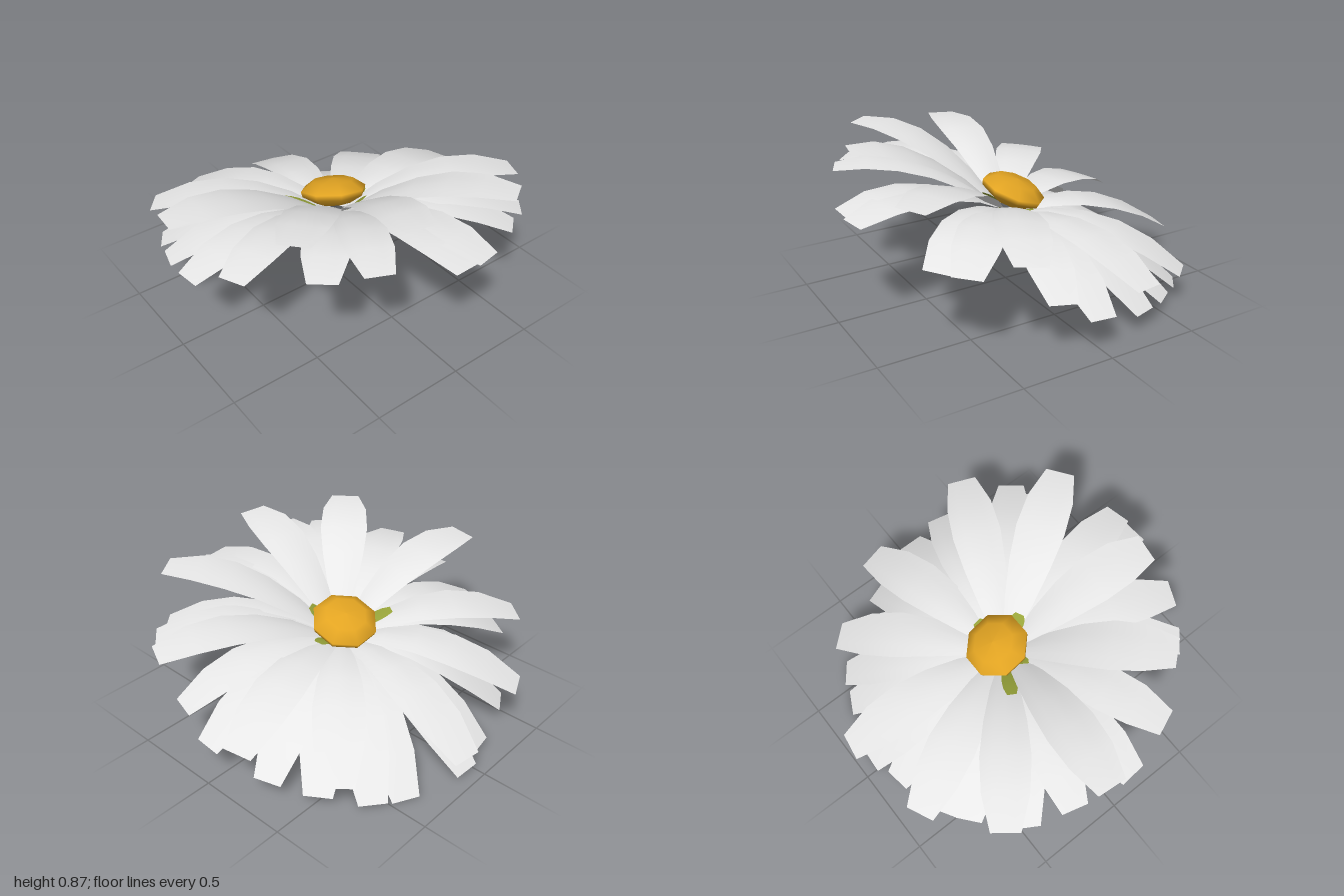
import * as THREE from 'three';

const petalWhite = new THREE.MeshStandardMaterial({ color: 0xe8e8e8, side: THREE.DoubleSide });
petalWhite.name = 'petalWhite';
const discOrange = new THREE.MeshStandardMaterial({ color: 0xe2a422 });
discOrange.name = 'discOrange';
const sepalGreen = new THREE.MeshStandardMaterial({ color: 0x98a43a, side: THREE.DoubleSide });
sepalGreen.name = 'sepalGreen';

// Height of the tilted flower plane
const planeY = (x, z) => 0.45 - 0.175 * x + 0.34 * z;

// Half width along the length of a petal, from base to tip
const WIDTHS = [0.03, 0.08, 0.115, 0.135, 0.126, 0.08];
const ROWS = WIDTHS.length - 1;

// Arched leaf from radius r0 to the tip (tx, tz); h is the tip's height over the plane
function leaf(tx, tz, h, { r0 = 0.06, rise = 0.115, scale = 1 } = {}) {
  const geo = new THREE.PlaneGeometry(1, 1, 4, ROWS);
  const p = geo.attributes.position;
  const len = Math.hypot(tx, tz), bx = tx / len, bz = tz / len;
  for (let i = 0; i < p.count; i++) {
    const u = p.getX(i) * 2;
    const s = p.getY(i) + 0.5;
    const w = WIDTHS[Math.round(s * ROWS)] * scale;
    const r = r0 + (len - r0) * s;
    const x = bx * r - bz * u * w;
    const z = bz * r + bx * u * w;
    // Each petal follows the plane along its length but stays nearly level across
    const base = 0.8 * planeY(bx * r, bz * r) + 0.2 * planeY(x, z);
    const arch = h * s + rise * 4 * s * (1 - s);
    const cup = -0.16 * w * u * u * (1 - s);
    p.setXYZ(i, x, base + arch + cup, z);
  }
  geo.computeVertexNormals();
  return geo;
}

// Petal tips: x, z and height over the plane
const UPPER = [
  [0.15, -0.98, 0.11], [0.735, -0.65, 0.1], [0.98, -0.22, 0.115], [0.93, 0.42, 0.14],
  [0.53, 0.81, 0.145], [-0.14, 0.83, 0.12], [-0.67, 0.57, 0.105], [-0.97, -0.1, 0.15],
  [-0.79, -0.62, 0.1], [-0.41, -0.9, 0.09],
];
const LOWER = [
  [0.06, -0.93, -0.09], [-0.13, -0.88, -0.12], [0.42, -0.82, -0.085], [0.58, -0.74, -0.055],
  [0.75, -0.53, -0.06], [0.87, -0.3, -0.08], [0.96, 0.03, -0.08], [0.93, 0.24, -0.035],
  [0.76, 0.65, -0.04], [0.62, 0.73, -0.1], [0.19, 0.96, -0.12], [0.05, 0.96, -0.14],
  [-0.38, 0.83, -0.08], [-0.6, 0.69, -0.1], [-0.88, 0.36, -0.1], [-0.97, 0.08, -0.15],
  [-0.91, -0.25, -0.14], [-0.82, -0.5, -0.11], [-0.58, -0.71, -0.12], [-0.46, -0.78, -0.16],
];
const SEPALS = [
  [-0.25, -0.15, 0.1], [0.21, -0.03, 0.09], [0.07, 0.16, 0.09], [-0.17, 0.02, 0.04],
  [-0.13, 0.12, 0.02], [0.2, 0.1, 0], [0.13, -0.19, 0], [-0.04, -0.22, 0],
];

export function createModel() {
  const flower = new THREE.Group();
  flower.name = 'daisy';

  const add = (geo, mat, name) => {
    const mesh = new THREE.Mesh(geo, mat);
    mesh.name = name;
    flower.add(mesh);
    return mesh;
  };

  // Petals
  for (const [x, z, h] of UPPER) add(leaf(x, z, h), petalWhite, 'upperPetal');
  for (const [x, z, h] of LOWER) add(leaf(x, z, h, { scale: 0.92 }), petalWhite, 'lowerPetal');

  // Eight-sided flower centre, leaning with the plane
  const profile = [[0.001, -0.07], [0.1, -0.06], [0.175, -0.015], [0.182, 0.015], [0.115, 0.062], [0, 0.075]]
    .map(([x, y]) => new THREE.Vector2(x, y));
  const disc = add(new THREE.LatheGeometry(profile, 8, Math.PI / 8), discOrange, 'flowerCentre');
  disc.position.set(0.015, 0.54, -0.04);
  disc.quaternion.setFromUnitVectors(
    new THREE.Vector3(0, 1, 0), new THREE.Vector3(0.175, 1, -0.34).normalize());

  // Small sepals around the base
  for (const [x, z, h] of SEPALS)
    add(leaf(x, z, h, { r0: 0.07, rise: 0.01, scale: 0.32 }), sepalGreen, 'sepal');

  return flower;
}
